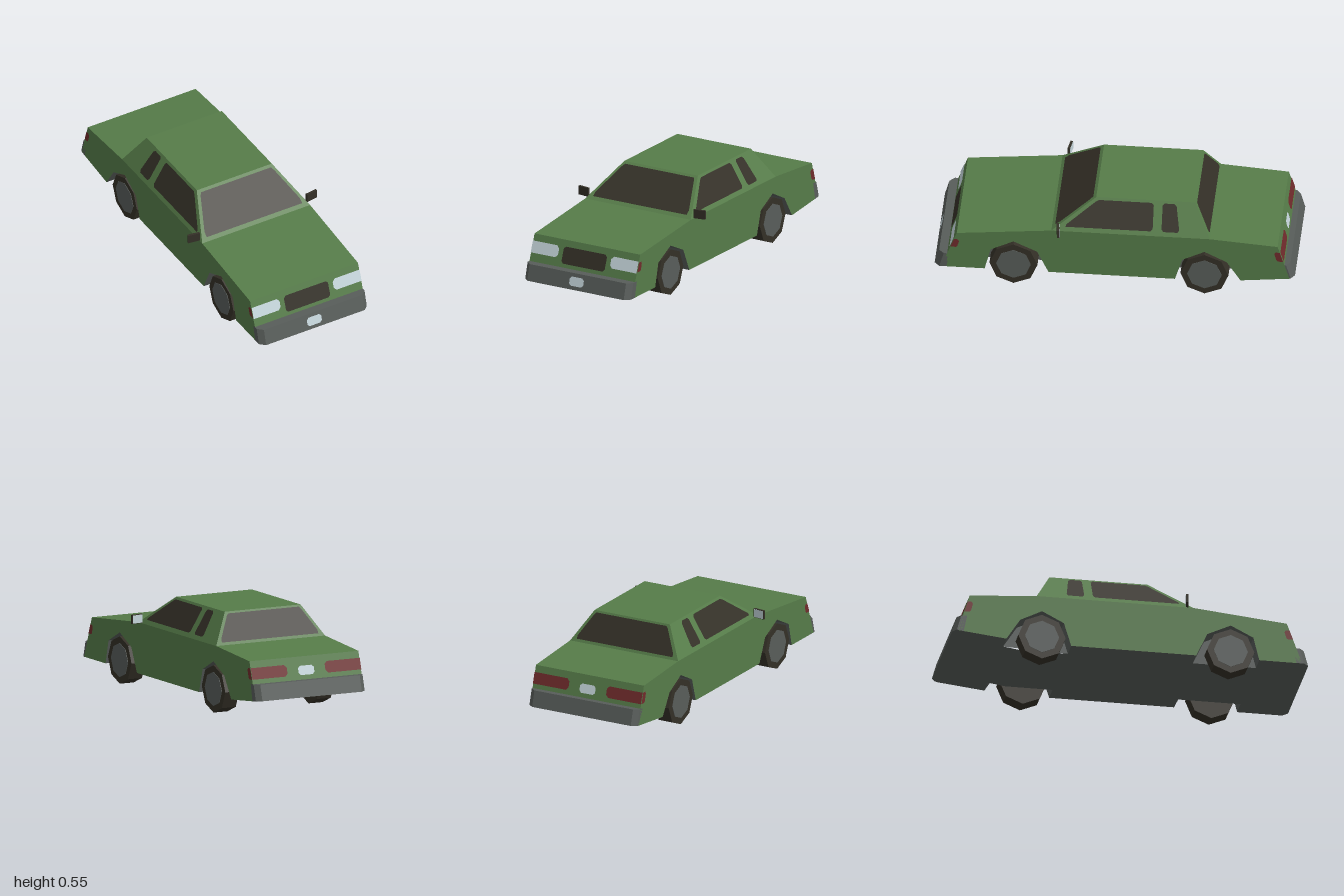
import * as THREE from 'three';
import { ConvexGeometry } from 'three/addons/geometries/ConvexGeometry.js';

const mat = (name, color) => {
  const m = new THREE.MeshStandardMaterial({ color });
  m.name = name;
  return m;
};

export function createModel() {
  const car = new THREE.Group();
  car.name = 'sedan';
  const green = mat('green paint', 0x567c49);
  const dark = mat('dark glass and rubber', 0x343027);
  const grey = mat('grey trim', 0x585d5a);
  const light = mat('pale lamp', 0xc6d6dc);
  const red = mat('red lamp', 0x702b2c);

  const add = (name, geometry, material, parent = car) => {
    const mesh = new THREE.Mesh(geometry, material);
    mesh.name = name;
    parent.add(mesh);
    return mesh;
  };

  // Flat panel: a 2D outline mapped onto a plane, facing "out", raised by "lift"
  const panel = (name, material, outline, map, out, lift = 0) => {
    const contour = outline.map(([u, v]) => new THREE.Vector2(u, v));
    const pts = outline.map(([u, v]) => new THREE.Vector3(...map(u, v)));
    const dir = new THREE.Vector3(...out);
    const tris = THREE.ShapeUtils.triangulateShape(contour, []);
    const pos = [];
    for (const [a, b, c] of tris) {
      const n = new THREE.Vector3().subVectors(pts[b], pts[a])
        .cross(new THREE.Vector3().subVectors(pts[c], pts[a])).normalize();
      const flip = n.dot(dir) < 0;
      if (flip) n.negate();
      for (const i of flip ? [a, c, b] : [a, b, c]) {
        pos.push(...pts[i].clone().addScaledVector(n, lift).toArray());
      }
    }
    const g = new THREE.BufferGeometry();
    g.setAttribute('position', new THREE.Float32BufferAttribute(pos, 3));
    g.computeVertexNormals();
    return add(name, g, material);
  };

  // Quad spanning x0..x1 between two side-profile points [z, y]
  const strip = (name, material, p, q, x0, x1, out) =>
    panel(name, material, [[x0, 0], [x1, 0], [x1, 1], [x0, 1]],
      (x, t) => [x, p[1] + (q[1] - p[1]) * t, p[0] + (q[0] - p[0]) * t], out);

  // Rectangle with clipped corners
  const clipped = (x0, x1, y0, y1, c = 0.012) => [
    [x0 + c, y0], [x1 - c, y0], [x1, y0 + c], [x1, y1 - c],
    [x1 - c, y1], [x0 + c, y1], [x0, y1 - c], [x0, y0 + c]];

  const W = 0.345, INNER = 0.24, BELT = 0.378, ROOF = 0.548, ROOF_W = 0.24;
  const UP = [0, 1, 0], DOWN = [0, -1, 0], FRONT = [0, 0, 1], BACK = [0, 0, -1];

  // Planes of the body faces
  const k = (y) => (y - BELT) / (ROOF - BELT);
  const onFront = (x, y) => [x, y, 0.875 + (0.325 - y) * 0.367];
  const onRear = (x, y) => [x, y, -0.906 - (0.35 - y) * 0.304];
  const onWindshield = (x, y) => [x, y, 0.35 - 0.24 * k(y)];
  const onRearWindow = (x, y) => [x, y, -0.53 + 0.09 * k(y)];
  const onSide = (s) => (z, y) => [s * W, y, z];
  const onCabin = (s) => (z, y) => [s * (W - (W - ROOF_W) * k(y)), y, z];

  // Side profile points [z, y]
  const noseLow = [0.961, 0.09], nose = [0.875, 0.325], cowl = [0.35, BELT];
  const deck = [-0.53, BELT], tail = [-0.906, 0.35], tailLow = [-0.972, 0.134];
  const frontArch = [[0.72, 0.09], [0.687, 0.224], [0.56, 0.288], [0.428, 0.225], [0.366, 0.09]];
  const rearArch = [[-0.336, 0.09], [-0.377, 0.225], [-0.5, 0.288], [-0.623, 0.225], [-0.7, 0.104]];
  const sill = [noseLow, ...frontArch, ...rearArch, tailLow];

  // Lower body
  strip('nose', green, noseLow, nose, -W, W, FRONT);
  strip('hood', green, nose, cowl, -W, W, UP);
  strip('trunkLid', green, deck, tail, -W, W, UP);
  strip('tailPanel', green, tail, tailLow, -W, W, BACK);

  // Underside between the wheel wells
  const floor = [noseLow, [-0.6, 0.09], [-0.7, 0.104], tailLow];
  for (let i = 0; i < floor.length - 1; i++) {
    strip('underside', grey, floor[i], floor[i + 1], -INNER, INNER, DOWN);
  }

  // Cabin roof and end walls
  strip('roof', green, [0.11, ROOF], [-0.44, ROOF], -ROOF_W, ROOF_W, UP);
  const endWall = [[-W, BELT], [W, BELT], [ROOF_W, ROOF], [-ROOF_W, ROOF]];
  panel('windshieldFrame', green, endWall, onWindshield, FRONT);
  panel('rearWindowFrame', green, endWall, onRearWindow, BACK);
  const pane = [[-0.305, 0.392], [0.305, 0.392], [0.305, 0.41], [0.236, 0.524], [0.224, 0.537],
    [-0.224, 0.537], [-0.236, 0.524], [-0.305, 0.41]];
  panel('windshield', dark, pane, onWindshield, FRONT, 0.003);
  panel('rearWindow', dark, pane, onRearWindow, BACK, 0.003);

  // Nose and tail details
  panel('grille', dark, clipped(-0.141, 0.141, 0.2, 0.29), onFront, FRONT, 0.004);
  panel('rearPlate', light, clipped(-0.05, 0.05, 0.25, 0.3), onRear, BACK, 0.004);
  panel('frontPlate', light, clipped(-0.046, 0.046, 0.11, 0.16),
    (x, y) => [x, y, 1 - (y - 0.09) * 0.278], FRONT, 0.0015);

  // Bumpers with angled corners; rows are [y, back z, corner z, face z]
  const bumper = (name, rows) => {
    const pts = [];
    for (const [y, back, corner, face, yBack = y] of rows) {
      for (const s of [-1, 1]) {
        pts.push(new THREE.Vector3(s * W, yBack, back),
          new THREE.Vector3(s * W, y, corner), new THREE.Vector3(s * 0.315, y, face));
      }
    }
    add(name, new ConvexGeometry(pts), grey);
  };
  bumper('frontBumper', [[0.09, 0.93, 0.972, 1], [0.18, 0.91, 0.947, 0.975]]);
  bumper('rearBumper', [[0.137, -0.94, -0.978, -1, 0.13], [0.226, -0.92, -0.953, -0.975]]);

  for (const s of [1, -1]) {
    const side = s > 0 ? 'left' : 'right';
    const out = [s, 0, 0];

    // Body side with wheel openings, and cabin side
    panel(side + 'BodySide', green, [...sill, tail, deck, cowl, nose], onSide(s), out);
    panel(side + 'CabinSide', green, [cowl, [0.11, ROOF], [-0.44, ROOF], deck], onCabin(s), out);

    // Outer floor and wheel wells
    for (let i = 0; i < sill.length - 1; i++) {
      strip(side + 'WheelWell', grey, sill[i], sill[i + 1], s * INNER, s * W, DOWN);
    }
    for (const arch of [frontArch, rearArch]) {
      panel(side + 'WellWall', grey, arch, (z, y) => [s * INNER, y, z], out);
    }

    // Side windows
    panel(side + 'DoorWindow', dark, [[0.272, 0.4], [0.268, 0.412], [0.112, 0.526], [0.095, 0.535],
      [-0.2, 0.535], [-0.211, 0.524], [-0.211, 0.411], [-0.2, 0.4]], onCabin(s), out, 0.003);
    panel(side + 'QuarterWindow', dark, [[-0.27, 0.4], [-0.26, 0.412], [-0.26, 0.524], [-0.27, 0.535],
      [-0.325, 0.535], [-0.338, 0.524], [-0.358, 0.412], [-0.35, 0.4]], onCabin(s), out, 0.003);

    // Lamps, with red markers wrapping onto the sides
    const lamp = (inner, y0, y1) => [[s * W, y0], [s * W, y1], [s * (inner + 0.015), y1],
      [s * inner, y1 - 0.015], [s * inner, y0 + 0.015], [s * (inner + 0.015), y0]];
    panel(side + 'Headlight', light, lamp(0.17, 0.225, 0.288), onFront, FRONT, 0.004);
    panel(side + 'TailLight', red, lamp(0.12, 0.25, 0.312), onRear, BACK, 0.004);
    panel(side + 'FrontMarker', red, [[0.91, 0.23], [0.89, 0.283], [0.868, 0.283], [0.862, 0.27],
      [0.872, 0.236], [0.88, 0.23]], onSide(s), out, 0.002);
    panel(side + 'RearMarker', red, [[-0.936, 0.25], [-0.918, 0.312], [-0.895, 0.312], [-0.888, 0.3],
      [-0.9, 0.258], [-0.91, 0.25]], onSide(s), out, 0.002);

    // Door mirror with a pale rear face
    const mirror = new THREE.Group();
    mirror.name = side + 'Mirror';
    mirror.position.set(s * 0.377, 0.405, 0.31);
    mirror.rotation.y = s * 0.15;
    add('mirrorHousing', new THREE.BoxGeometry(0.07, 0.05, 0.014), dark, mirror);
    add('mirrorGlass', new THREE.BoxGeometry(0.064, 0.045, 0.003), light, mirror).position.z = -0.0075;
    car.add(mirror);

    // Eight-sided wheels with flat hubs
    for (const [end, z] of [['Front', 0.56], ['Rear', -0.5]]) {
      const wheel = new THREE.Group();
      wheel.name = side + end + 'Wheel';
      wheel.position.set(s * 0.301, 0.133, z);
      const drum = (r, w) => {
        const g = new THREE.CylinderGeometry(r, r, w, 8).rotateZ(Math.PI / 2).toNonIndexed();
        g.computeVertexNormals();
        return g;
      };
      add('tyre', drum(0.133, 0.088), dark, wheel);
      add('hub', drum(0.096, 0.006), grey, wheel).position.x = s * 0.0435;
      car.add(wheel);
    }
  }
  return car;
}
